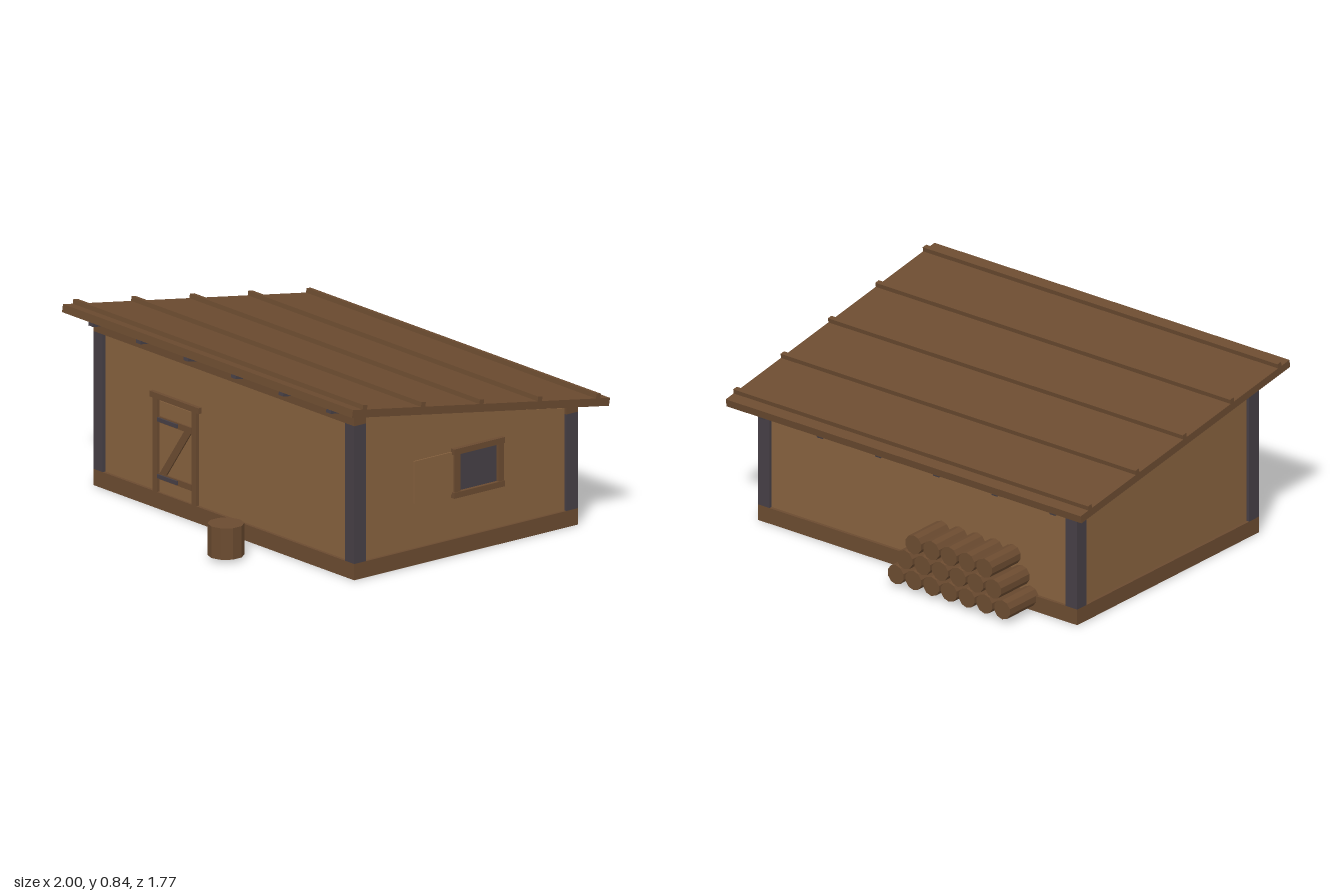
import * as THREE from 'three';

const material = (name, color) => {
  const m = new THREE.MeshStandardMaterial({ color });
  m.name = name;
  return m;
};

export function createModel() {
  const model = new THREE.Group();
  model.name = 'shed';
  const timber = material('dark timber', 0x6b4b30);
  const board = material('light board', 0x86613e);
  const iron = material('charcoal grey', 0x463f45);

  const add = (parent, name, geometry, mat, x = 0, y = 0, z = 0) => {
    const mesh = new THREE.Mesh(geometry, mat);
    mesh.name = name;
    mesh.position.set(x, y, z);
    parent.add(mesh);
    return mesh;
  };
  // Box given by its minimum and maximum on each axis
  const span = (parent, name, mat, [x0, x1], [y0, y1], [z0, z1]) =>
    add(parent, name, new THREE.BoxGeometry(x1 - x0, y1 - y0, z1 - z0), mat,
      (x0 + x1) / 2, (y0 + y1) / 2, (z0 + z1) / 2);
  // Flat outline extruded along z
  const plate = (points, depth) => new THREE.ExtrudeGeometry(
    new THREE.Shape(points.map(([x, y]) => new THREE.Vector2(x, y))),
    { depth, bevelEnabled: false });
  const group = (name) => {
    const g = new THREE.Group();
    g.name = name;
    model.add(g);
    return g;
  };

  const FRONT = [0.507, 0.575], BACK = [-0.7, -0.635];

  // Open sill frame, corner posts and the two top beams
  const frame = group('frame');
  span(frame, 'frontSill', timber, [-0.9, 0.9], [0, 0.075], FRONT);
  span(frame, 'backSill', timber, [-0.9, 0.9], [0, 0.075], BACK);
  span(frame, 'frontBeam', timber, [-0.9, 0.9], [0.71, 0.76], FRONT);
  span(frame, 'backBeam', timber, [-0.9, 0.9], [0.52, 0.565], BACK);
  for (const x of [[-0.9, -0.835], [0.835, 0.9]]) {
    span(frame, 'sideSill', timber, x, [0, 0.075], [-0.635, 0.507]);
    span(frame, 'frontPost', iron, x, [0.075, 0.71], FRONT);
    span(frame, 'backPost', iron, x, [0.075, 0.52], BACK);
  }

  // Walls, with sloping tops on the sides
  const walls = group('walls');
  span(walls, 'frontWall', board, [-0.84, 0.84], [0.07, 0.715], [0.52, 0.56]);
  span(walls, 'backWall', board, [-0.84, 0.84], [0.07, 0.525], [-0.685, -0.645]);
  for (const x of [-0.885, 0.845]) {
    const side = plate([[-0.51, 0.07], [0.64, 0.07], [0.64, 0.545], [-0.51, 0.737]], 0.04);
    add(walls, 'sideWall', side, board, x).rotation.y = Math.PI / 2;
  }

  // Sloping roof: slab, battens above and rafters below
  const roof = group('roof');
  roof.position.set(0, 0.69, -0.065);
  roof.rotation.x = -Math.atan2(0.24, 1.47);
  add(roof, 'roofSlab', new THREE.BoxGeometry(2, 0.036, 1.485), timber);
  for (let i = -2; i <= 2; i++) {
    add(roof, 'batten', new THREE.BoxGeometry(2, 0.022, 0.025), timber, 0, 0.028, i * 0.337);
  }
  for (let i = 0; i < 6; i++) {
    add(roof, 'rafter', new THREE.BoxGeometry(0.032, 0.022, 1.45), iron, -0.82 + i * 0.328, -0.028, 0);
  }

  // Door with its frame, rails, brace and hinges
  const door = group('door');
  span(door, 'doorLeaf', board, [-0.455, -0.228], [0.075, 0.495], [0.555, 0.564]);
  span(door, 'doorPostRight', timber, [-0.49, -0.46], [0.075, 0.505], [0.555, 0.576]);
  span(door, 'doorPostLeft', timber, [-0.222, -0.19], [0.075, 0.505], [0.555, 0.576]);
  span(door, 'lintel', timber, [-0.508, -0.17], [0.505, 0.532], [0.555, 0.579]);
  for (const y of [0.15, 0.412]) {
    span(door, 'doorRail', timber, [-0.455, -0.228], [y - 0.014, y + 0.014], [0.56, 0.572]);
    span(door, 'hinge', iron, [-0.455, -0.32], [y - 0.009, y + 0.009], [0.57, 0.579]);
  }
  add(door, 'doorBrace', plate(
    [[-0.45, 0.16], [-0.405, 0.16], [-0.232, 0.4], [-0.277, 0.4]], 0.01), timber, 0, 0, 0.561);

  // Side window with a sliding shutter
  const win = group('window');
  span(win, 'pane', iron, [0.88, 0.889], [0.285, 0.47], [-0.25, -0.02]);
  span(win, 'shutter', board, [0.88, 0.891], [0.28, 0.475], [0.0, 0.225]);
  for (const y of [[0.263, 0.29], [0.463, 0.49]]) {
    span(win, 'windowRail', timber, [0.88, 0.907], y, [-0.28, 0.01]);
  }
  for (const z of [[-0.275, -0.245], [-0.028, 0.003]]) {
    span(win, 'windowStile', timber, [0.88, 0.904], [0.29, 0.463], z);
  }

  // Firewood stacked in three rows against the back wall
  const pile = group('woodpile');
  const log = new THREE.CylinderGeometry(0.046, 0.046, 0.2, 10).toNonIndexed();
  log.computeVertexNormals();
  log.rotateX(Math.PI / 2);
  for (let row = 0; row < 3; row++) {
    const count = 7 - row;
    for (let i = 0; i < count; i++) {
      add(pile, 'log', log, timber,
        -0.325 + (i - (count - 1) / 2) * 0.1, 0.062 + row * 0.086, -0.785);
    }
  }

  // Chopping block
  const stump = new THREE.CylinderGeometry(0.082, 0.082, 0.145, 10).toNonIndexed();
  stump.computeVertexNormals();
  add(model, 'choppingBlock', stump, timber, 0.287, 0.0875, 0.8);

  return model;
}
